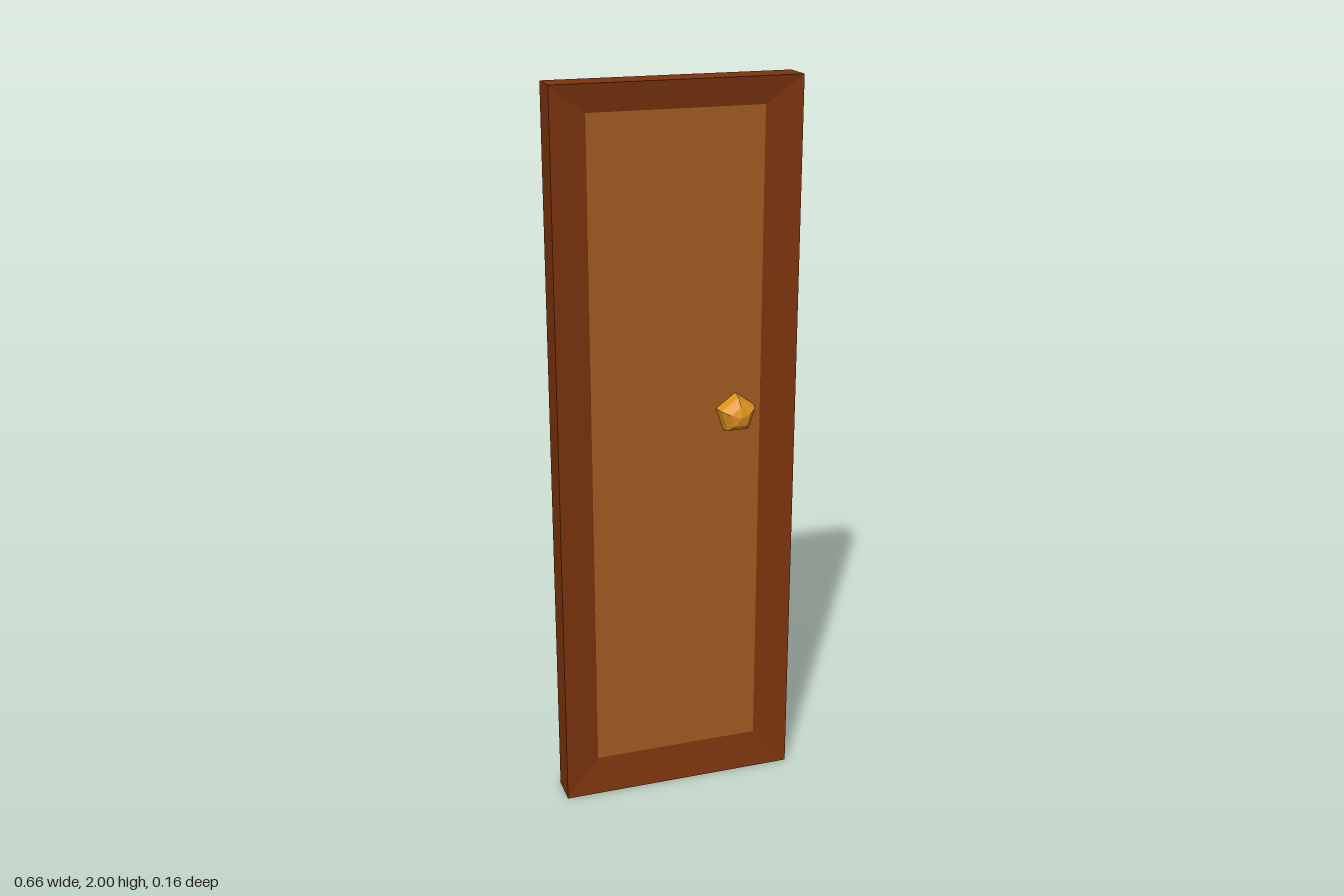
import * as THREE from 'three';

const material = (color) => new THREE.MeshStandardMaterial({ color, flatShading: true });

// Four corners of a rectangle at depth z, anticlockwise seen from the front
const ring = (x0, x1, y0, y1, z) => [[x0, y0, z], [x1, y0, z], [x1, y1, z], [x0, y1, z]];

// Joins successive rings with quads
function loft(rings) {
  const positions = [];
  for (let r = 0; r < rings.length - 1; r++) {
    for (let i = 0; i < 4; i++) {
      const j = (i + 1) % 4;
      const [a, b, c, d] = [rings[r][i], rings[r][j], rings[r + 1][j], rings[r + 1][i]];
      positions.push(...a, ...b, ...c, ...a, ...c, ...d);
    }
  }
  const geometry = new THREE.BufferGeometry();
  geometry.setAttribute('position', new THREE.Float32BufferAttribute(positions, 3));
  geometry.computeVertexNormals();
  return geometry;
}

export function createModel() {
  const group = new THREE.Group();
  const front = 0.041, back = -0.046, recess = 0.015;
  const outer = [-0.332, 0.332, 0, 2];
  const inner = [-0.237, 0.235, 0.107, 1.927];

  // Frame: mitred border sloping inwards on both faces
  const frame = new THREE.Mesh(loft([
    ring(...inner, back + recess),
    ring(...outer, back),
    ring(...outer, front),
    ring(...inner, front - recess),
  ]), material(0x7c340c));
  frame.name = 'doorFrame';
  group.add(frame);

  // Recessed panel, seen from both sides
  const [x0, x1, y0, y1] = inner;
  const panel = new THREE.Mesh(
    new THREE.BoxGeometry(x1 - x0, y1 - y0, front - back - 2 * recess),
    material(0xa05c22),
  );
  panel.position.set((x0 + x1) / 2, (y0 + y1) / 2, (front + back) / 2);
  panel.name = 'doorPanel';
  group.add(panel);

  // Five-sided knobs with their poles along z and a corner pointing up
  const radius = 0.058;
  const knobGeometry = new THREE.SphereGeometry(radius, 5, 6).rotateX(Math.PI / 2).rotateZ(-Math.PI / 2);
  const brass = material(0xdf921f);
  for (const [name, z] of [['frontKnob', 0.081 - radius], ['backKnob', -0.083 + radius]]) {
    const knob = new THREE.Mesh(knobGeometry, brass);
    knob.position.set(0.164, 1.109, z);
    knob.name = name;
    group.add(knob);
  }
  return group;
}
